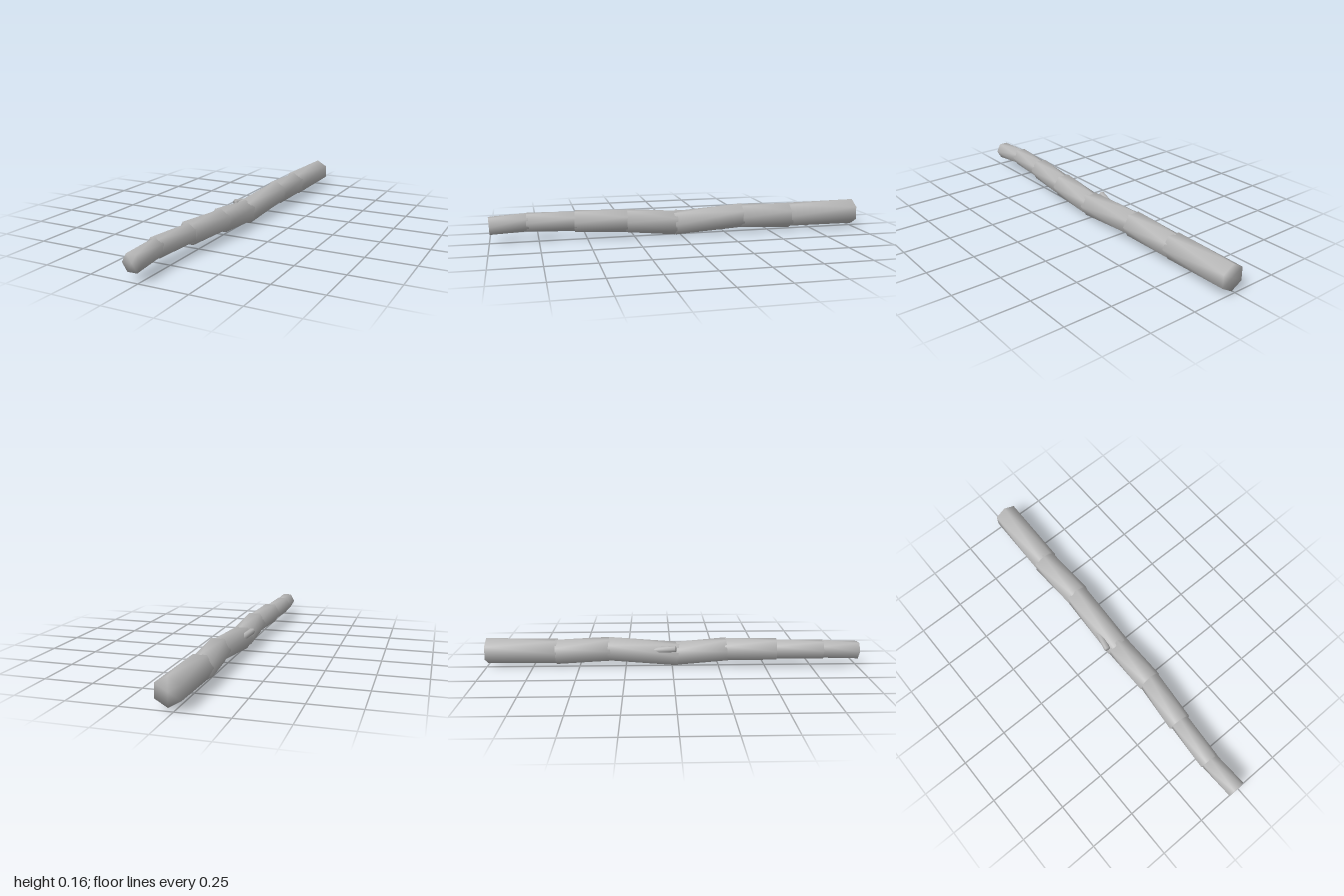
import * as THREE from 'three';

// Six-sided segment whose front ring is turned half a step against its back ring.
function twistedSegment(back, front, rBack, rFront) {
  const a = new THREE.Vector3(...back);
  const b = new THREE.Vector3(...front);
  const axis = b.clone().sub(a).normalize();
  const side = new THREE.Vector3(0, 1, 0).cross(axis).normalize();
  const up = axis.clone().cross(side);
  const n = 6;
  const pos = [];
  const idx = [];
  const ring = (centre, r, turn) => {
    for (let i = 0; i < n; i++) {
      const t = Math.PI / 2 + ((i + turn) * 2 * Math.PI) / n;
      const p = centre.clone().addScaledVector(side, r * Math.cos(t)).addScaledVector(up, r * Math.sin(t));
      pos.push(p.x, p.y, p.z);
    }
  };
  ring(a, rBack, 0);
  ring(b, rFront, 0.5);
  pos.push(...a.toArray(), ...b.toArray());
  for (let i = 0; i < n; i++) {
    const j = (i + 1) % n;
    idx.push(i, j, n + i, n + i, j, n + j); // wall
    idx.push(2 * n, j, i, 2 * n + 1, n + i, n + j); // end caps
  }
  const g = new THREE.BufferGeometry();
  g.setAttribute('position', new THREE.Float32BufferAttribute(pos, 3));
  g.setIndex(idx);
  g.computeVertexNormals(); // shared corners give soft, rounded shading
  return g;
}

export function createModel() {
  const model = new THREE.Group();
  model.name = 'stick';
  const bark = new THREE.MeshStandardMaterial({ color: 0xb8b8b8 });
  bark.name = 'bark grey';

  const add = (name, ...args) => {
    const mesh = new THREE.Mesh(twistedSegment(...args), bark);
    mesh.name = name;
    model.add(mesh);
  };

  // Main stick, from the thick back end to the thin front end
  const segments = [
    [[0.024, 0.089, -1], [0.018, 0.087, -0.62], 0.069, 0.068],
    [[0.013, 0.081, -0.628], [0.024, 0.094, -0.335], 0.068, 0.067],
    [[0.021, 0.095, -0.345], [0.009, 0.068, 0.034], 0.066, 0.066],
    [[0.01, 0.069, 0.025], [0.007, 0.093, 0.295], 0.065, 0.065],
    [[0.008, 0.091, 0.288], [-0.02, 0.098, 0.562], 0.061, 0.061],
    [[-0.018, 0.097, 0.552], [-0.038, 0.1, 0.81], 0.053, 0.052],
    [[-0.037, 0.1, 0.803], [-0.027, 0.092, 1], 0.049, 0.049],
  ];
  segments.forEach((s, i) => add(`stickSegment${i + 1}`, ...s));

  // Small shoot leaning out of the right side
  add('sideShoot', [-0.025, 0.095, -0.1], [-0.055, 0.112, 0.017], 0.018, 0.017);

  return model;
}
